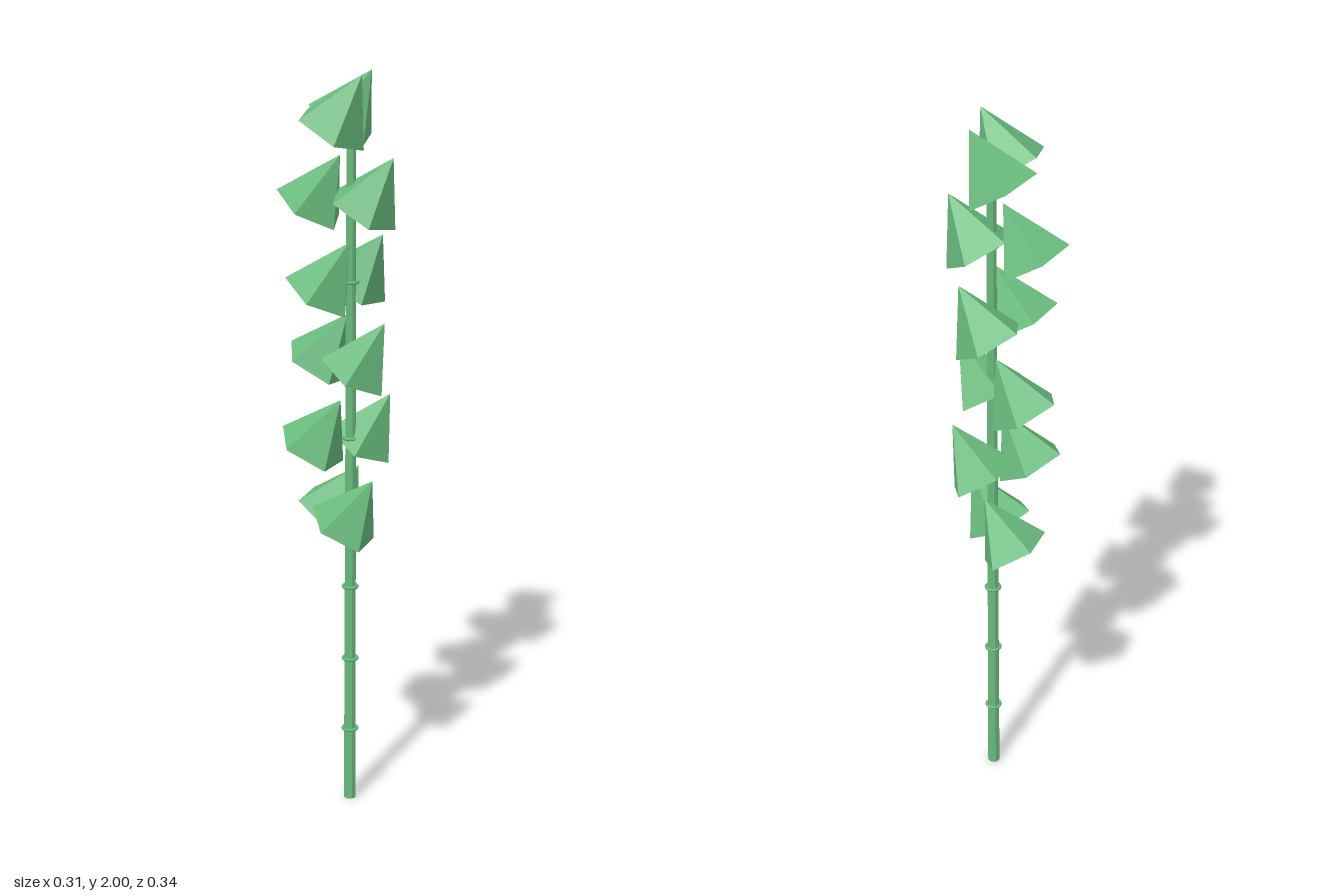
import * as THREE from 'three';

export function createModel() {
  const model = new THREE.Group();
  model.name = 'bambooStalk';

  const bambooGreen = new THREE.MeshStandardMaterial({ color: 0x69bb7d });
  bambooGreen.name = 'bambooGreen';

  const stemX = 0.038, step = 0.2092, nodes = 9, firstLeafNode = 3;
  const flat = (g) => {
    const f = g.toNonIndexed();
    f.computeVertexNormals();
    return f;
  };
  const add = (name, geometry, parent = model) => {
    const mesh = new THREE.Mesh(geometry, bambooGreen);
    mesh.name = name;
    parent.add(mesh);
    return mesh;
  };

  // Tapered stalk
  const height = step * nodes;
  const stalk = add('stalk', flat(new THREE.CylinderGeometry(0.0125, 0.0175, height, 8)));
  stalk.position.set(stemX, height / 2, 0);

  // Pointed five-sided leaf clump, shared by every tier
  const leafGeometry = flat(new THREE.ConeGeometry(0.097, 0.165, 5));

  for (let i = 0; i < nodes; i++) {
    const y = step * (i + 1);

    // Joint ring, slightly smaller towards the tip
    const ring = add('jointRing', new THREE.TorusGeometry(0.0195 - i * 0.0002, 0.0045, 6, 16));
    ring.rotation.x = Math.PI / 2;
    ring.position.set(stemX, y, 0);

    // Opposite pair of leaf clumps, turning from joint to joint
    if (i < firstLeafNode) continue;
    const tier = new THREE.Group();
    tier.name = 'leafTier';
    tier.position.set(stemX, y + 0.046, 0);
    model.add(tier);
    for (let j = 0; j < 2; j++) {
      const angle = i * 1.8 + j * Math.PI;
      const leaf = add('leafClump', leafGeometry, tier);
      leaf.position.set(Math.cos(angle) * 0.0735, 0, -Math.sin(angle) * 0.0735);
      leaf.rotation.set(0, Math.PI + angle + 0.03, -0.55, 'ZYX');
    }
  }
  return model;
}
